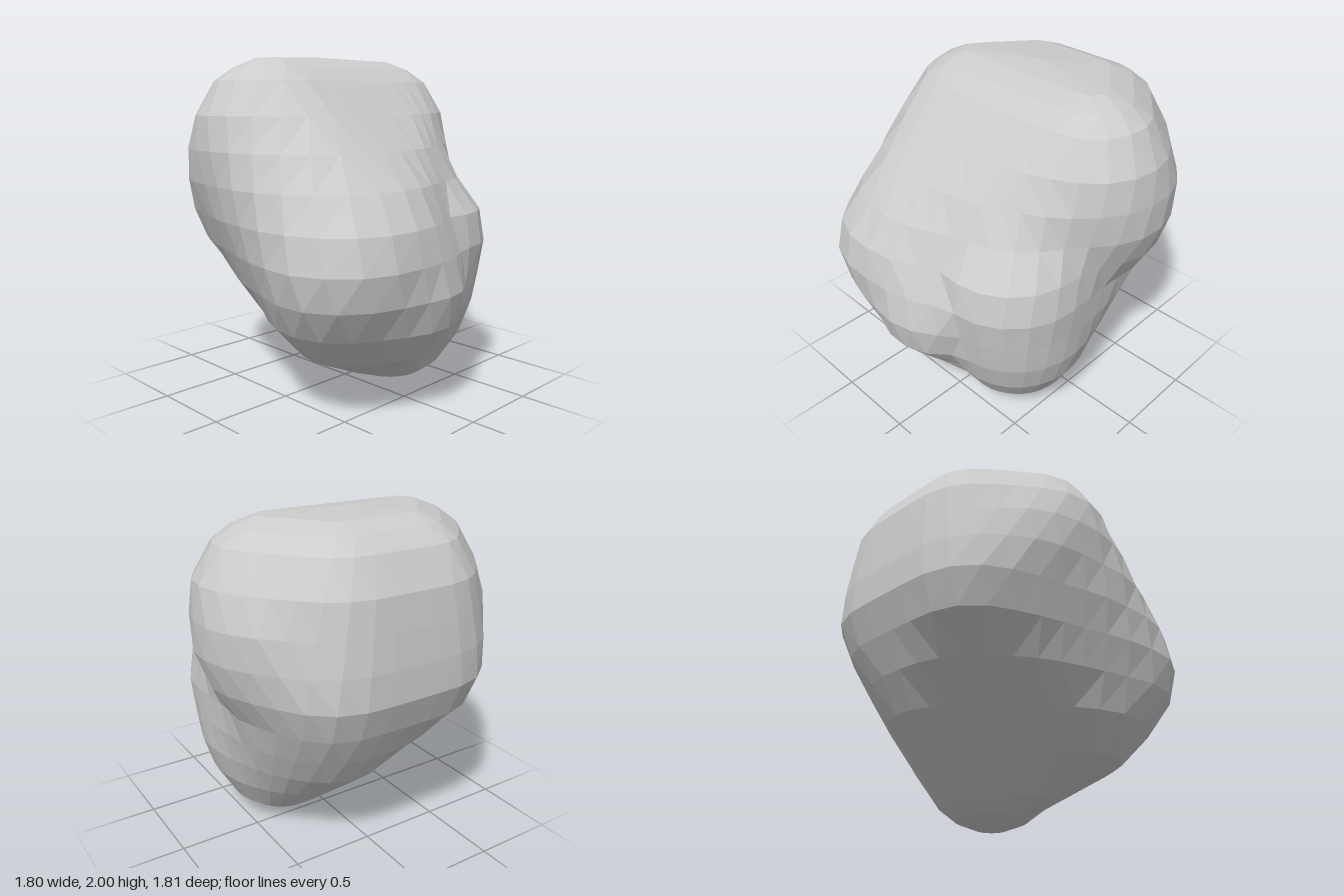
import * as THREE from 'three';
import { ConvexGeometry } from 'three/addons/geometries/ConvexGeometry.js';

// Lobes of the boulder: x, y, z, radius
const topLeft = [
  [0.42, 1.52, -0.16, 0.47], [0.43, 1.38, -0.2, 0.48],
  [0.42, 1.2, -0.22, 0.43], [0.42, 1.4, -0.27, 0.45],
];
const topRight = [[-0.43, 1.52, -0.16, 0.47], [-0.42, 1.4, -0.27, 0.45]];
const back = [
  [0.22, 1.55, -0.43, 0.44], [-0.22, 1.55, -0.43, 0.44],
  [0.25, 1.16, -0.46, 0.45], [-0.27, 1.16, -0.46, 0.45],
];
const front = [
  [-0.46, 0.9, 0.44, 0.455],
  [-0.3, 0.95, 0.43, 0.45],
  [-0.12, 0.71, 0.45, 0.46],
  [-0.38, 0.7, 0.35, 0.43],
];
const chin = [0, 0.45, 0.2, 0.37];
const frontLeft = [0.28, 0.92, 0.3, 0.45];
const belly = [0.15, 0.85, -0.28, 0.47];
const foot = [[0.21, 0.45, 0.18, 0.45], [0.25, 0.57, 0.23, 0.46]];

// Convex skin stretched over a set of lobes, kept as its face planes
function skin(lobes) {
  const points = [];
  for (const [x, y, z, r] of lobes) {
    const p = new THREE.SphereGeometry(r, 24, 16).translate(x, y, z).attributes.position;
    for (let i = 0; i < p.count; i++) points.push(new THREE.Vector3().fromBufferAttribute(p, i));
  }
  const hull = new ConvexGeometry(points).attributes.position;
  const planes = [];
  const tri = new THREE.Triangle();
  for (let i = 0; i < hull.count; i += 3) {
    tri.setFromAttributeAndIndices(hull, i, i + 1, i + 2);
    if (tri.getArea() > 1e-5) planes.push(tri.getPlane(new THREE.Plane()));
  }
  return planes;
}

// Distance along a ray to where it leaves a skin, or 0 if it misses
function exitDistance(planes, origin, dir) {
  let enter = 0;
  let exit = Infinity;
  for (const plane of planes) {
    const slope = plane.normal.dot(dir);
    const t = -plane.distanceToPoint(origin) / slope;
    if (slope > 1e-6) exit = Math.min(exit, t);
    else if (slope < -1e-6) enter = Math.max(enter, t);
  }
  return exit > enter ? exit : 0;
}

export function createModel() {
  // Overlapping skins leave shallow valleys between the lobes
  const skins = [
    skin([...topLeft, ...topRight, ...back, ...front]),
    skin([...topRight, ...back, ...front, belly, chin]),
    skin([...topRight, ...back, frontLeft, belly, ...foot]),
  ];
  const levels = [0.012, 0.06, 0.14, 0.33, 0.52, 0.71, 0.9, 1.09, 1.28, 1.47, 1.66, 1.85, 1.93, 1.98];
  const sides = 36;
  const rings = [];

  // Horizontal rings around an axis that leans back towards the top
  const axis = (y) => new THREE.Vector3(
    THREE.MathUtils.lerp(0.2, 0, Math.min(1, y / 0.9)), y,
    THREE.MathUtils.lerp(0.2, -0.25, y / 2)
  );
  for (const y of levels) {
    const centre = axis(y);
    for (let s = 0; s < sides; s++) {
      const a = (s / sides) * Math.PI * 2;
      const dir = new THREE.Vector3(Math.sin(a), 0, Math.cos(a));
      const reach = Math.max(0.03, ...skins.map((planes) => exitDistance(planes, centre, dir)));
      rings.push(centre.clone().addScaledVector(dir, reach));
    }
  }
  const bottom = rings.length;
  rings.push(axis(0), axis(2));

  // Join the rings along the shorter diagonal and close both ends
  const index = [];
  const last = (levels.length - 1) * sides;
  for (let s = 0; s < sides; s++) {
    const n = (s + 1) % sides;
    for (let k = 0; k < last; k += sides) {
      const [a, b, c, d] = [k + s, k + n, k + sides + n, k + sides + s];
      if (rings[a].distanceTo(rings[c]) < rings[b].distanceTo(rings[d])) index.push(a, b, c, a, c, d);
      else index.push(a, b, d, b, c, d);
    }
    index.push(bottom, n, s, bottom + 1, last + s, last + n);
  }
  const geometry = new THREE.BufferGeometry().setFromPoints(rings);
  geometry.setIndex(index);
  geometry.computeVertexNormals();

  const boulder = new THREE.Mesh(
    geometry,
    new THREE.MeshStandardMaterial({ color: 0xcccccc, flatShading: true })
  );
  boulder.name = 'boulder';
  const group = new THREE.Group();
  group.name = 'rock';
  group.add(boulder);
  return group;
}
